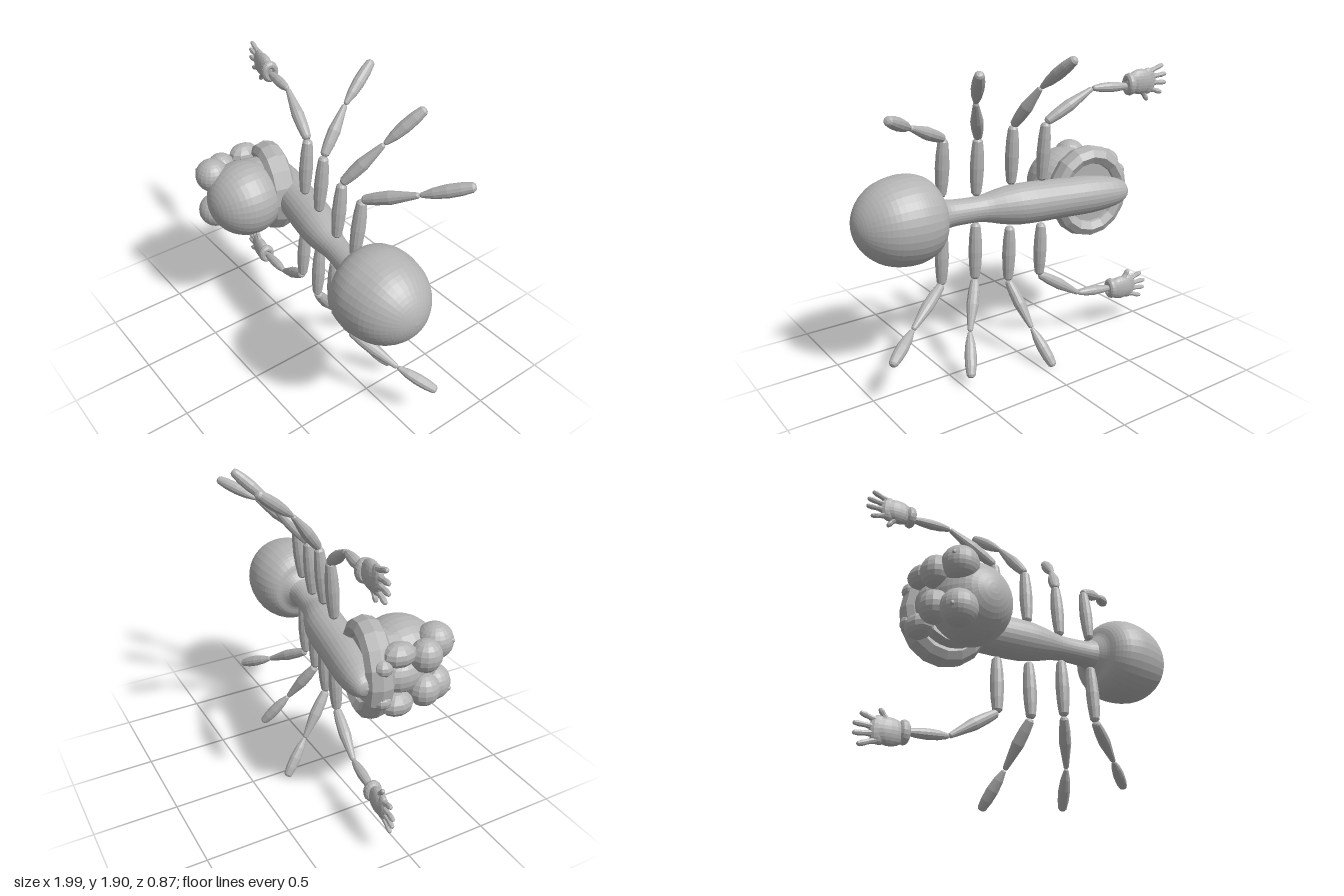
import * as THREE from 'three';

const shell = new THREE.MeshStandardMaterial({ color: 0xb4b4b4, flatShading: true });
shell.name = 'shell grey';
const V = (p) => new THREE.Vector3(...p);

function add(parent, name, geometry, pos = [0, 0, 0], scale = [1, 1, 1]) {
  const m = new THREE.Mesh(geometry, shell);
  m.name = name;
  m.position.set(...pos);
  m.scale.set(...scale);
  parent.add(m);
  return m;
}

const ball = (parent, name, pos, scale, w = 20, h = 14) =>
  add(parent, name, new THREE.SphereGeometry(1, w, h), pos, scale);

// Round cross-sections along x; each station is [x, centre z, radius]
function loft(stations, steps, y, sides = 28) {
  const curve = new THREE.CatmullRomCurve3(stations.map(V), false, 'centripetal');
  const pos = [], idx = [];
  for (let i = 0; i <= steps; i++) {
    const s = curve.getPoint(i / steps), r = Math.max(s.z, 0.001);
    for (let j = 0; j < sides; j++) {
      const t = (j / sides) * Math.PI * 2;
      pos.push(s.x, y + r * Math.cos(t), s.y + r * Math.sin(t));
      if (i === steps) continue;
      const a = i * sides + j, c = i * sides + ((j + 1) % sides);
      idx.push(a, c, a + sides, c, c + sides, a + sides);
    }
  }
  const g = new THREE.BufferGeometry();
  g.setAttribute('position', new THREE.Float32BufferAttribute(pos, 3));
  g.setIndex(idx);
  g.computeVertexNormals();
  return g;
}

// Spindle-shaped limb segment from a to b, with radii spread along its length
function spindle(parent, name, a, b, radii, sides = 12) {
  const A = V(a), B = V(b), d = B.clone().sub(A), len = d.length();
  const n = radii.length - 1, pts = [[0, 0]];
  radii.forEach((r, i) => {
    if (i === 0) pts.push([r * 0.65, r * 0.15], [r, r * 0.6]);
    else if (i === n) pts.push([r, len - r * 0.6], [r * 0.65, len - r * 0.15]);
    else pts.push([r, (len * i) / n]);
  });
  pts.push([0, len]);
  const m = add(parent, name, new THREE.LatheGeometry(pts.map((p) => new THREE.Vector2(...p)), sides), a);
  m.quaternion.setFromUnitVectors(new THREE.Vector3(0, 1, 0), d.normalize());
}

const THIGH = [0.029, 0.037, 0.041, 0.037, 0.029];
const SHIN = [0.026, 0.034, 0.037, 0.026, 0.016];
const FOOT = [0.014, 0.029, 0.036, 0.034, 0.026];
const FOREARM = [0.016, 0.027, 0.031, 0.027, 0.02];

function limb(root, name, pts, last = FOOT) {
  const g = new THREE.Group();
  g.name = name;
  root.add(g);
  spindle(g, 'upperSegment', pts[0], pts[1], THIGH);
  spindle(g, 'middleSegment', pts[1], pts[2], SHIN);
  spindle(g, 'endSegment', pts[2], pts[3], last);
  return g;
}

// Hand reaching towards -x; side = 1 puts the thumb below, -1 above
function hand(parent, wrist, side) {
  const g = new THREE.Group();
  g.name = 'hand';
  g.position.set(...wrist);
  g.rotation.y = -0.13;
  g.scale.y = side;
  // mirrored by rotation-free coordinates, so faces keep their winding
  g.scale.y = 1;
  parent.add(g);
  const cuff = add(g, 'cuff', new THREE.TorusGeometry(0.043, 0.026, 10, 18), [-0.02, 0, 0], [0.8, 1, 1]);
  cuff.rotation.y = Math.PI / 2;
  ball(g, 'palm', [-0.1, 0.01 * side, 0], [0.1, 0.077, 0.04], 16, 12);
  ball(g, 'knuckles', [-0.155, 0.01 * side, 0], [0.055, 0.08, 0.03], 14, 10);
  const fingers = [
    [-0.15, 0.06, -0.265, 0.102], [-0.17, 0.032, -0.292, 0.045],
    [-0.17, -0.002, -0.295, -0.008], [-0.16, -0.034, -0.262, -0.068],
    [-0.11, -0.04, -0.158, -0.108],
  ];
  fingers.forEach(([x0, y0, x1, y1], i) =>
    spindle(g, i < 4 ? 'finger' : 'thumb', [x0, y0 * side, 0], [x1, y1 * side, 0],
      [0.02, 0.018, 0.014, 0.016, 0.012], 8));
}

export function createModel() {
  const root = new THREE.Group();
  root.name = 'insect';

  // Waisted trunk and round abdomen
  add(root, 'trunk', loft([
    [-0.74, -0.14, 0], [-0.72, -0.14, 0.05], [-0.66, -0.13, 0.085], [-0.5, -0.095, 0.115],
    [-0.28, -0.05, 0.122], [0, 0.004, 0.124], [0.1, 0.027, 0.108], [0.22, 0.055, 0.08],
    [0.35, 0.078, 0.077], [0.45, 0.095, 0.087], [0.53, 0.112, 0.13],
  ], 36, 0.985));
  add(root, 'abdomen', loft([
    [0.46, 0.1, 0.088], [0.49, 0.105, 0.13], [0.51, 0.112, 0.185], [0.56, 0.118, 0.232],
    [0.64, 0.12, 0.258], [0.71, 0.12, 0.26], [0.82, 0.12, 0.238], [0.9, 0.12, 0.192],
    [0.96, 0.12, 0.125], [0.99, 0.12, 0.06], [1, 0.12, 0],
  ], 32, 0.99, 36));

  // Head, neck and faceted collar
  const head = new THREE.Group();
  head.name = 'head';
  root.add(head);
  const skull = ball(head, 'skull', [-0.505, 0.985, 0.195], [0.236, 0.236, 0.236], 32, 22);
  skull.rotation.x = Math.PI / 2;
  const neckPivot = new THREE.Group();
  neckPivot.name = 'neckAndCollar';
  neckPivot.position.set(-0.53, 0.98, -0.02);
  neckPivot.rotation.y = -0.2;
  head.add(neckPivot);
  add(neckPivot, 'neck', new THREE.CylinderGeometry(0.215, 0.205, 0.2, 20), [0.02, 0, 0.06])
    .rotation.x = Math.PI / 2;
  add(neckPivot, 'collar', new THREE.TorusGeometry(0.236, 0.06, 8, 16), [0, 0, 0], [0.89, 1, 1.35]);

  // Eyes, brow lobes and mouth parts, mirrored across the body's middle
  for (const s of [1, -1]) {
    const y = (d) => 0.99 + s * d;
    ball(head, 'eye', [-0.66, y(0.13), 0.325], [0.105, 0.105, 0.105]);
    ball(head, 'pupil', [-0.738, y(0.15), 0.385], [0.014, 0.014, 0.014], 8, 6);
    ball(head, 'cheek', [-0.74, y(0.105), 0.215], [0.088, 0.095, 0.092], 14, 10);
    ball(head, 'jaw', [-0.73, y(0.15), 0.05], [0.075, 0.07, 0.1], 10, 8);
    ball(head, 'feeler', [-0.735, y(0.1), -0.05], [0.055, 0.05, 0.055], 10, 8);
  }
  ball(head, 'mouth', [-0.71, 0.98, 0.1], [0.06, 0.09, 0.11], 12, 8);

  // Three pairs of legs
  limb(root, 'upperFrontLeg', [[0.03, 1.11, 0.02], [0.035, 1.47, -0.01], [-0.02, 1.71, -0.2], [-0.075, 1.89, -0.43]]);
  limb(root, 'upperMiddleLeg', [[0.25, 1.07, 0.06], [0.25, 1.42, 0.03], [0.375, 1.66, -0.15], [0.47, 1.85, -0.34]]);
  limb(root, 'upperRearLeg', [[0.46, 1.09, 0.1], [0.46, 1.44, 0.06], [0.735, 1.56, -0.08], [0.945, 1.655, -0.25]]);
  limb(root, 'lowerFrontLeg', [[0.04, 0.85, 0.02], [0.04, 0.49, 0.04], [-0.012, 0.22, -0.14], [-0.065, 0.008, -0.295]]);
  limb(root, 'lowerMiddleLeg', [[0.25, 0.9, 0.07], [0.255, 0.54, 0.08], [0.385, 0.28, -0.06], [0.475, 0.07, -0.21]]);
  limb(root, 'lowerRearLeg', [[0.46, 0.9, 0.1], [0.465, 0.54, 0.12], [0.74, 0.38, -0.02], [0.945, 0.275, -0.15]]);

  // Arms with hands
  const up = limb(root, 'upperArm',
    [[-0.165, 1.11, -0.02], [-0.17, 1.47, -0.05], [-0.46, 1.65, -0.12], [-0.7, 1.645, -0.16]], FOREARM);
  hand(up, [-0.695, 1.655, -0.16], 1);
  const low = limb(root, 'lowerArm',
    [[-0.165, 0.84, -0.02], [-0.17, 0.49, 0], [-0.455, 0.305, -0.045], [-0.7, 0.285, -0.07]], FOREARM);
  hand(low, [-0.695, 0.28, -0.07], -1);

  return root;
}
